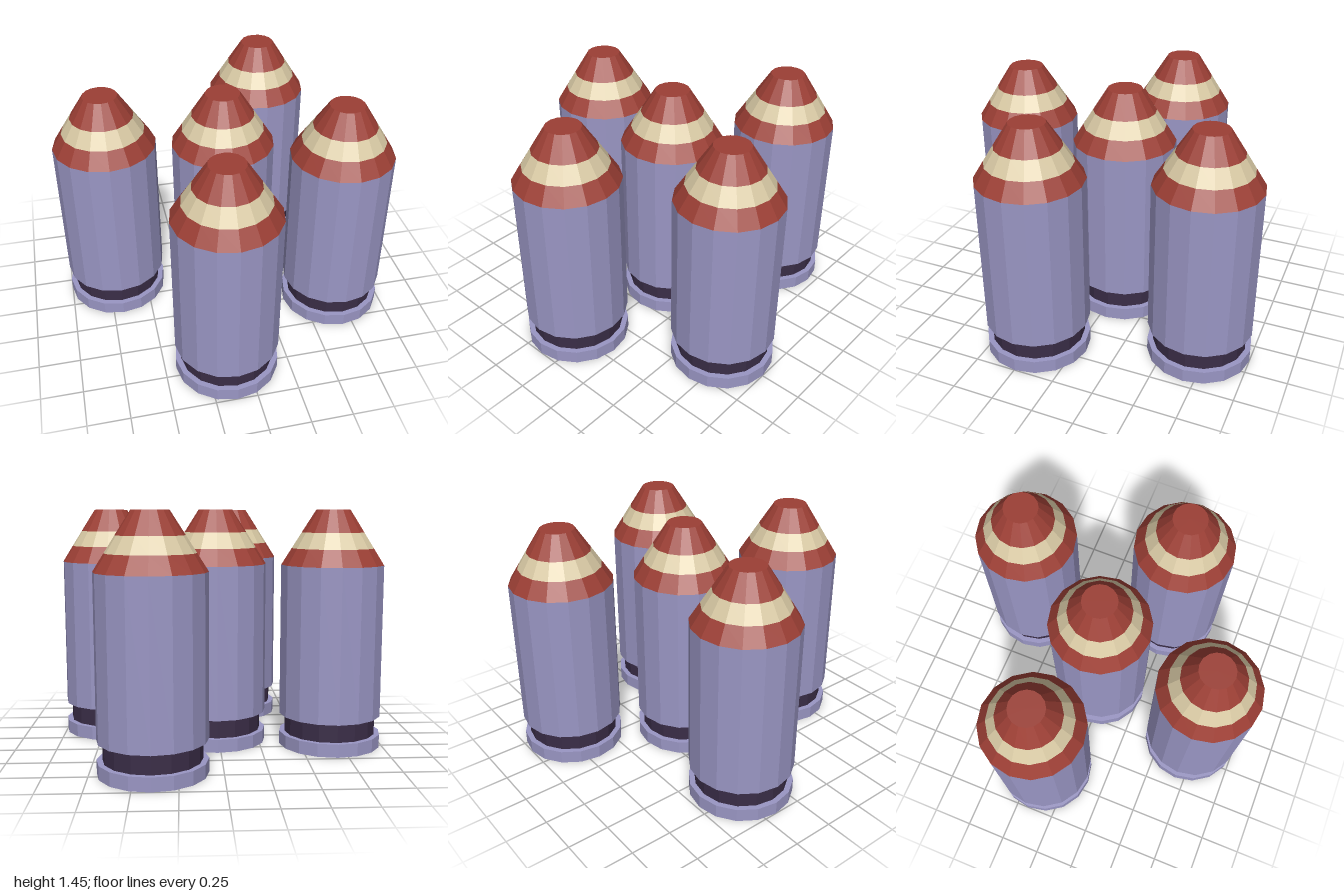
import * as THREE from 'three';

const SIDES = 16;

function material(color) {
  return new THREE.MeshStandardMaterial({ color, flatShading: true });
}

export function createModel() {
  const casing = material(0x9a96c4);
  const dark = material(0x3a2d47);
  const red = material(0x9c3f35);
  const cream = material(0xd8c9a4);

  // Each part is a profile of [radius, height], listed from bottom to top
  const parts = [
    ['rim', casing, [[0, 0], [0.313, 0], [0.313, 0.08], [0.28, 0.08]]],
    ['groove', dark, [[0.28, 0.08], [0.28, 0.195]]],
    ['casingBody', casing, [[0.28, 0.195], [0.313, 0.195], [0.313, 1.12]]],
    ['noseBase', red, [[0.313, 1.12], [0.25, 1.22]]],
    ['noseBand', cream, [[0.25, 1.22], [0.19, 1.315]]],
    ['noseTip', red, [[0.19, 1.315], [0.104, 1.45], [0, 1.45]]],
  ].map(([name, mat, profile]) => {
    const points = profile.map(([r, y]) => new THREE.Vector2(r, y));
    return { name, mat, geometry: new THREE.LatheGeometry(points, SIDES) };
  });

  // Five identical cartridges standing in a loose cluster
  const positions = [
    [-0.687, -0.172], [0.02, -0.045], [0.687, 0.245], [-0.12, 0.687], [0.395, -0.687],
  ];
  const model = new THREE.Group();
  model.name = 'cartridges';
  positions.forEach(([x, z], i) => {
    const cartridge = new THREE.Group();
    cartridge.name = `cartridge${i + 1}`;
    cartridge.position.set(x, 0, z);
    for (const { name, mat, geometry } of parts) {
      const mesh = new THREE.Mesh(geometry, mat);
      mesh.name = name;
      cartridge.add(mesh);
    }
    model.add(cartridge);
  });
  return model;
}
